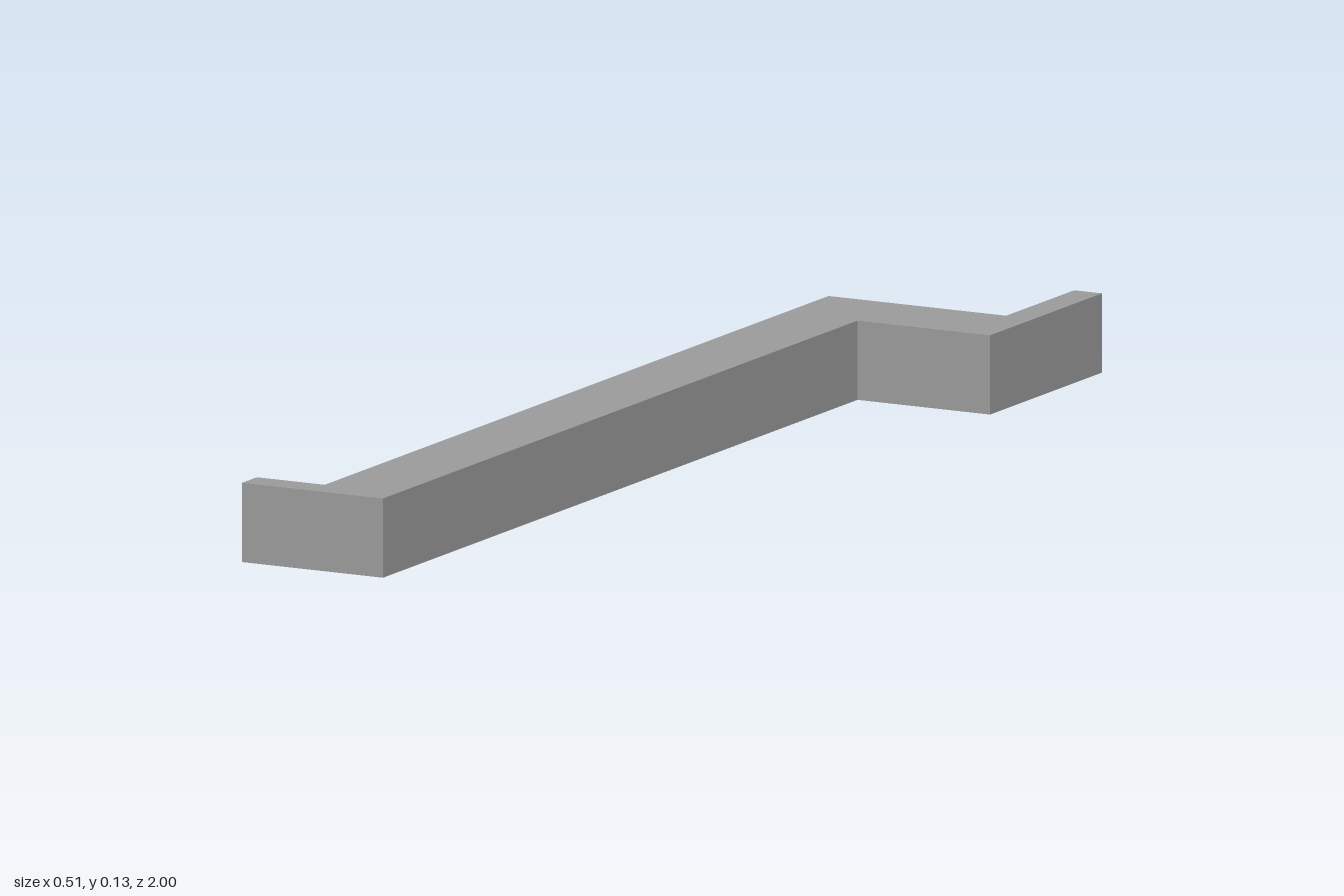
import * as THREE from 'three';

// Extrude a floor plan given as [x, z] points upward from y0 to y1
function extrudePlan(points, y0, y1) {
  const shape = new THREE.Shape(points.map(([x, z]) => new THREE.Vector2(x, -z)));
  const geometry = new THREE.ExtrudeGeometry(shape, { depth: y1 - y0, bevelEnabled: false });
  geometry.rotateX(-Math.PI / 2);
  geometry.translate(0, y0, 0);
  return geometry;
}

export function createModel() {
  const model = new THREE.Group();
  model.name = 'lShapedTray';
  const grey = new THREE.MeshStandardMaterial({ color: 0x999999 });
  grey.name = 'grey';

  const W = 0.254, floorY = 0.077, topY = 0.132;
  // Outer edge from the front left end around to the back right end
  const outer = [[-W, 1], [0.008, 1], [0.008, -0.618], [W, -0.618], [W, -1]];
  // Inner edge of the raised rim, same order
  const inner = [[-W, 0.949], [-0.036, 0.949], [-0.036, -0.661], [0.202, -0.661], [0.202, -1]];

  // Solid L-shaped floor
  const floor = new THREE.Mesh(extrudePlan([...outer, [-W, -1]], 0, floorY), grey);
  floor.name = 'floor';

  // Rim along the front, the stepped side and the short end
  const rim = new THREE.Mesh(extrudePlan([...outer, ...inner.reverse()], floorY, topY), grey);
  rim.name = 'rim';

  model.add(floor, rim);
  return model;
}
